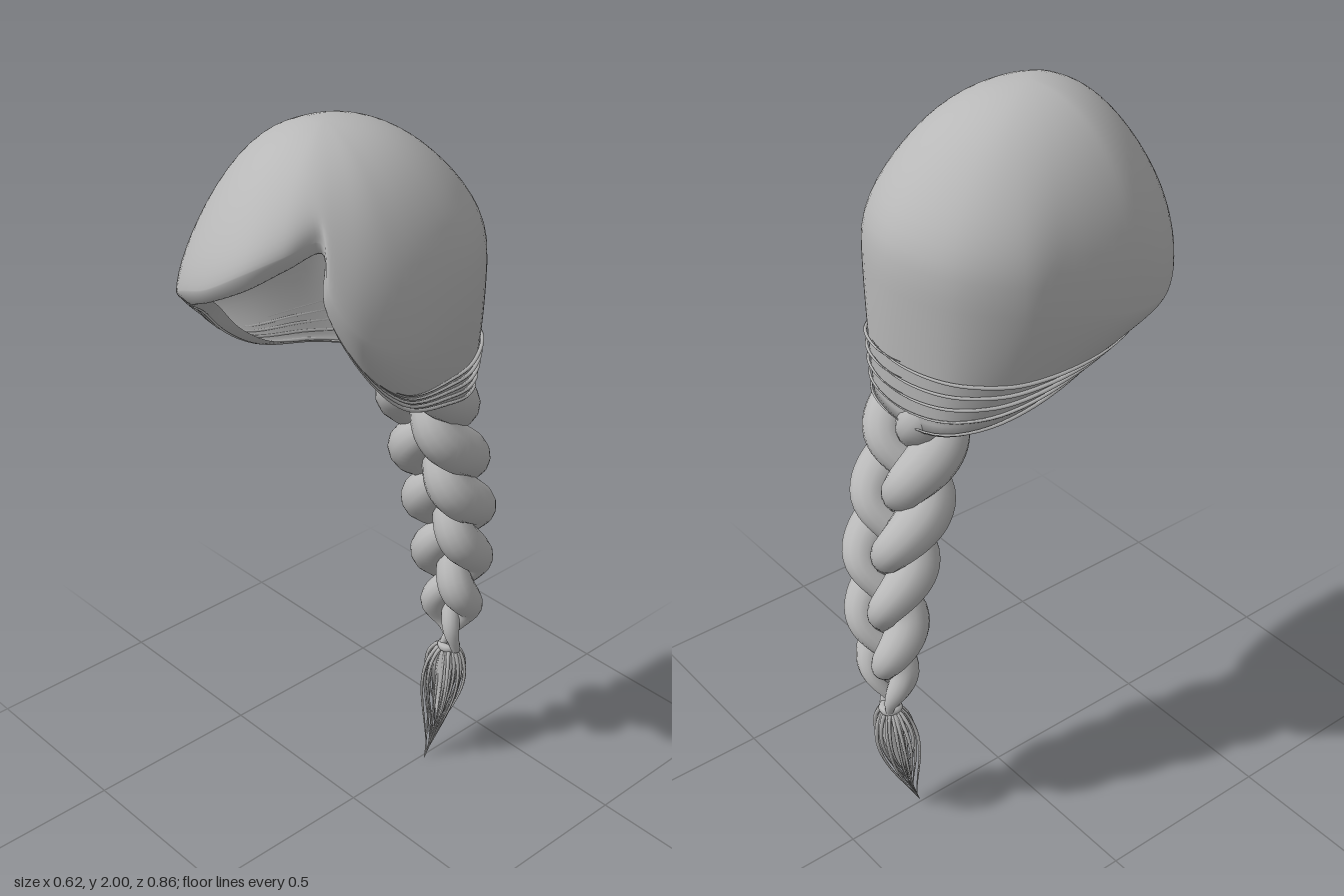
import * as THREE from 'three';

const hair = new THREE.MeshStandardMaterial({ color: 0xb8b8b8, side: THREE.DoubleSide });
hair.name = 'grey hair';

const V = (x, y, z) => new THREE.Vector3(x, y, z);
const lerp = THREE.MathUtils.lerp;
const CROWN = V(0, 2, 0.09);

// Widest point and hem point of each column, from the front round by the left side
const columns = [
  [0, 1.70, 0.435, 0, 1.665, 0.42],
  [0.10, 1.76, 0.41, 0.10, 1.72, 0.395],
  [0.16, 1.80, 0.345, 0.155, 1.765, 0.33],
  [0.19, 1.82, 0.27, 0.185, 1.79, 0.26],
  [0.235, 1.72, 0.285, 0.20, 1.68, 0.27],
  [0.285, 1.62, 0.235, 0.235, 1.50, 0.19],
  [0.312, 1.57, 0.12, 0.25, 1.37, 0.07],
  [0.30, 1.60, -0.03, 0.235, 1.32, -0.09],
  [0.27, 1.62, -0.14, 0.19, 1.285, -0.20],
  [0.17, 1.64, -0.265, 0.13, 1.27, -0.275],
  [0, 1.65, -0.32, 0, 1.26, -0.30],
  [-0.17, 1.64, -0.265, -0.13, 1.27, -0.275],
  [-0.27, 1.62, -0.14, -0.19, 1.285, -0.20],
  [-0.295, 1.58, -0.02, -0.225, 1.32, -0.08],
  [-0.31, 1.53, 0.15, -0.215, 1.38, 0.11],
  [-0.295, 1.53, 0.26, -0.205, 1.45, 0.215],
  [-0.24, 1.58, 0.335, -0.18, 1.54, 0.30],
  [-0.12, 1.65, 0.41, -0.11, 1.61, 0.39],
];
const ring = k => new THREE.CatmullRomCurve3(columns.map(c => V(c[k], c[k + 1], c[k + 2])), true);
const widest = ring(0), hem = ring(3);
const wrap = u => (u + 1) % 1;

// Cap surface: u runs round the head; v runs crown (0), widest (0.6), hem (1), inward lip (1.1)
function capPoint(u, v) {
  const w = widest.getPoint(wrap(u)), h = hem.getPoint(wrap(u));
  if (v <= 0.6) {
    const a = (v / 0.6) * Math.PI / 2, s = Math.sin(a), c = Math.cos(a);
    // the parting fades out towards the crown
    const soft = V();
    for (let k = -3; k <= 3; k++) soft.addScaledVector(widest.getPoint(wrap(u + k * 0.03)), 1 / 7);
    w.lerp(soft, 1 - s ** 6);
    const front = THREE.MathUtils.smoothstep(w.z, 0.15, 0.42);
    return V(lerp(CROWN.x, w.x, s), lerp(w.y, CROWN.y, Math.pow(c, lerp(0.86, 1.3, front))), lerp(CROWN.z, w.z, s));
  }
  const s = Math.min(1, (v - 0.6) / 0.4), k = Math.pow(s, 1.8);
  const p = V(lerp(w.x, h.x, k), lerp(w.y, h.y, s), lerp(w.z, h.z, k));
  if (v > 1) {
    p.x *= 0.9;
    p.z = lerp(p.z, 0, 0.08);
    p.y += 0.015;
  }
  return p;
}

function capGeometry() {
  const nu = 108, nv = 33, pos = [], idx = [];
  for (let j = 0; j <= nv; j++) {
    for (let i = 0; i < nu; i++) pos.push(...capPoint(i / nu, j * 1.1 / nv).toArray());
  }
  for (let j = 0; j < nv; j++) {
    for (let i = 0; i < nu; i++) {
      const i2 = (i + 1) % nu, a = j * nu + i, b = a + nu, c = j * nu + i2, d = c + nu;
      if (j > 0) idx.push(a, b, c);
      idx.push(c, b, d);
    }
  }
  const g = new THREE.BufferGeometry();
  g.setAttribute('position', new THREE.Float32BufferAttribute(pos, 3));
  g.setIndex(idx);
  g.computeVertexNormals();
  // one shared upward normal closes the crown smoothly
  for (let i = 0; i < nu; i++) g.attributes.normal.setXYZ(i, 0, 1, 0);
  return g;
}

// Tube along sampled points whose radius follows a rule of t
function taperedTube(pointAt, radiusAt, steps, sides) {
  const pts = Array.from({ length: steps + 1 }, (_, i) => pointAt(i / steps));
  const curve = new THREE.CatmullRomCurve3(pts);
  const g = new THREE.TubeGeometry(curve, steps, 1, sides);
  const p = g.attributes.position, q = V();
  for (let i = 0; i <= steps; i++) {
    const c = curve.getPointAt(i / steps), r = radiusAt(i / steps);
    for (let j = 0; j <= sides; j++) {
      const k = i * (sides + 1) + j;
      q.fromBufferAttribute(p, k).sub(c).multiplyScalar(r).add(c);
      p.setXYZ(k, q.x, q.y, q.z);
    }
  }
  return g;
}

// Centre line of the braid, top to tie
const spine = new THREE.CatmullRomCurve3([
  V(0.02, 1.37, -0.19), V(0.022, 1.2, -0.235), V(0.025, 1.0, -0.29),
  V(0.025, 0.8, -0.335), V(0.02, 0.6, -0.35), V(0.02, 0.37, -0.345),
]);

export function createModel() {
  const model = new THREE.Group();
  const add = (name, geometry, parent = model) => {
    const m = new THREE.Mesh(geometry, hair);
    m.name = name;
    parent.add(m);
    return m;
  };
  const group = name => {
    const g = new THREE.Group();
    g.name = name;
    model.add(g);
    return g;
  };

  add('hairCap', capGeometry());

  // Fine locks lying on the hem, on both sides of the parting, gathering at the nape
  const locks = group('hemLocks');
  const addLock = (u0, u1, v0, v1) => add('hemLock', taperedTube(t => {
    const p = capPoint(lerp(u0, u1, t), lerp(v0, v1, t));
    p.x *= 1.014;
    p.z = lerp(p.z, CROWN.z, -0.014);
    return p;
  }, t => 0.005 * Math.sin(Math.PI * (0.05 + 0.9 * t)), 40, 5), locks);
  for (let i = 0; i < 5; i++) {
    const v = 0.99 - i * 0.045, start = 0.97 - i * 0.035;
    addLock(0.24 + i * 0.02, 0.57, 0.99 - i * 0.025, v);
    addLock(start, 0.53, 0.99 - i * 0.025, v);
  }

  // Three strands weaving in a figure of eight
  const braid = group('braid');
  for (let s = 0; s < 3; s++) {
    const narrowing = t => 1 - 0.17 * THREE.MathUtils.smoothstep(t, 0.4, 0.75) - 0.5 * THREE.MathUtils.smoothstep(t, 0.75, 1.02);
    const phase = t => s * Math.PI * 2 / 3 + t * Math.PI * 2 * 1.92;
    add('braidStrand', taperedTube(t => {
      const c = spine.getPointAt(t), a = phase(t), n = narrowing(t);
      return V(c.x + 0.08 * n * Math.sin(a), c.y, c.z + 0.042 * n * Math.sin(2 * a));
    }, t => {
      const ends = Math.sqrt(Math.min(1, t / 0.03 + 0.01));
      const tip = 1 - 0.4 * THREE.MathUtils.smoothstep(t, 0.92, 1);
      return ends * tip * narrowing(t) * (0.047 + 0.018 * Math.sin(phase(t)) ** 2);
    }, 110, 14), braid);
  }

  // Tie at the end of the braid
  const tie = add('hairTie', new THREE.TorusGeometry(0.02, 0.012, 8, 20));
  tie.rotation.x = Math.PI / 2;
  tie.position.set(0.02, 0.375, -0.345);

  // Loose tuft below the tie: a slim core with thin strands around it
  const tuft = group('tuft');
  const drift = t => V(0.02 - 0.01 * t, lerp(0.38, 0, t), -0.345 + 0.075 * t * t);
  const bulge = t => Math.sin(Math.PI * Math.pow(t, 0.65)) ** 1.1;
  add('tuftCore', taperedTube(t => drift(t * 0.7), t => 0.012 * (1 - t) + 0.026 * bulge(t), 20, 10), tuft);
  for (let i = 0; i < 28; i++) {
    const a = i * 2.4, spread = 0.03 + 0.037 * ((i * 7) % 11) / 10, reach = 0.65 + 0.35 * ((i * 5) % 9) / 8;
    add('tuftStrand', taperedTube(t => {
      const p = drift(t * reach), r = 0.012 * (1 - t) + spread * bulge(t);
      return V(p.x + r * Math.cos(a), p.y, p.z + 0.75 * r * Math.sin(a));
    }, t => 0.0065 * (1 - 0.85 * t), 18, 5), tuft);
  }

  return model;
}
